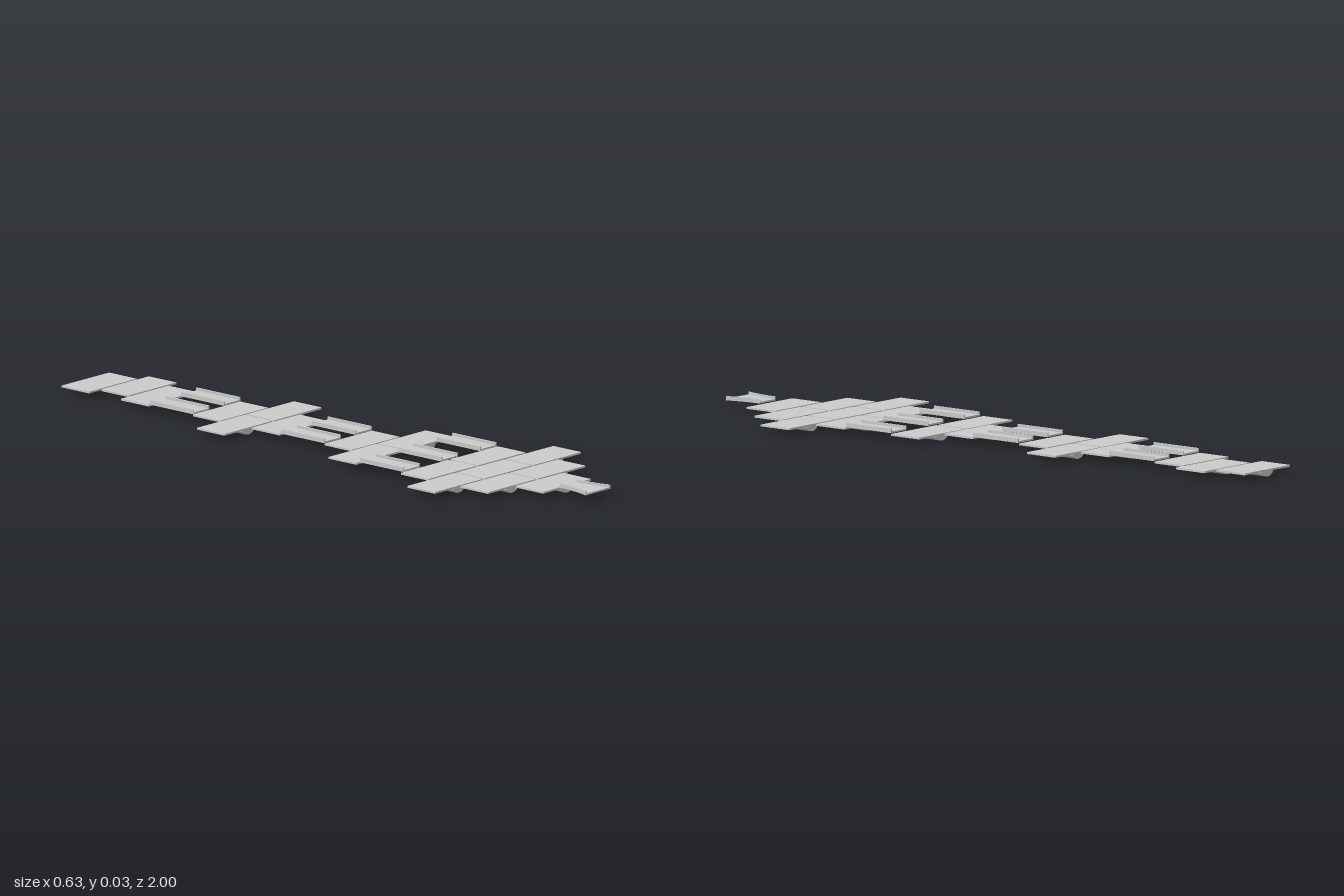
import * as THREE from 'three';

const mat = new THREE.MeshStandardMaterial({ color: 0xcccccc });
const TILE = { w: 0.206, h: 0.0055, d: 0.108, y: 0.0155 };
const X0 = -0.003; // centre line of the single tiles

function add(parent, name, geometry, x = 0, y = 0, z = 0) {
  const mesh = new THREE.Mesh(geometry, mat);
  mesh.name = name;
  mesh.position.set(x, y, z);
  parent.add(mesh);
  return mesh;
}

// Flat deck tile carried by one half-round float
const deckGeo = new THREE.BoxGeometry(TILE.w, TILE.h, TILE.d);
const floatGeo = new THREE.CylinderGeometry(1, 1, TILE.d, 20, 1, false, -Math.PI / 2, Math.PI)
  .rotateX(Math.PI / 2)
  .scale(0.025, 0.0155, 1);

function makeTile(x, z) {
  const tile = new THREE.Group();
  tile.name = 'deckTile';
  tile.position.set(x, 0, z);
  add(tile, 'deck', deckGeo, 0, TILE.y + TILE.h / 2, 0);
  add(tile, 'float', floatGeo, 0, TILE.y, 0);
  return tile;
}

// Channel-shaped gangway: thin floor with an upright rail on each side
const BRIDGE_W = 0.071, BRIDGE_L = 0.169, RAIL = 0.004;
const floorGeo = new THREE.BoxGeometry(BRIDGE_W, 0.005, BRIDGE_L);
const railGeo = new THREE.BoxGeometry(RAIL, 0.013, BRIDGE_L);

function makeBridge(x, z) {
  const bridge = new THREE.Group();
  bridge.name = 'bridge';
  bridge.position.set(x, 0, z);
  add(bridge, 'bridgeFloor', floorGeo, 0, 0.0242, 0);
  for (const s of [-1, 1]) add(bridge, 'bridgeRail', railGeo, s * (BRIDGE_W - RAIL) / 2, 0.0282, 0);
  return bridge;
}

// Flared ramp at the front end, outlined by a curve that widens outwards
function makeRamp() {
  const ramp = new THREE.Group();
  ramp.name = 'entryRamp';
  ramp.position.set(X0 - 0.001, 0, 0);
  const zBack = 0.886, zFront = 1.0;
  const edge = [];
  for (let i = 0; i <= 10; i++) {
    const t = i / 10;
    edge.push([0.0355 + 0.018 * Math.pow(t, 2), zBack + (zFront - zBack) * t]);
  }
  const plate = (points, height) => new THREE.ExtrudeGeometry(
    new THREE.Shape(points.map(([x, z]) => new THREE.Vector2(x, -z))),
    { depth: height, bevelEnabled: false }).rotateX(-Math.PI / 2);
  const mirrored = edge.map(([x, z]) => [-x, z]).reverse();
  add(ramp, 'rampFloor', plate([...edge, ...mirrored], 0.005), 0, 0.0217, 0);
  for (const s of [-1, 1]) {
    const outer = edge.map(([x, z]) => [s * x, z]);
    const inner = edge.map(([x, z]) => [s * (x - 0.003), z]).reverse();
    add(ramp, 'rampRail', plate([...outer, ...inner], 0.0125), 0, 0.0217, 0);
  }
  return ramp;
}

export function createModel() {
  const model = new THREE.Group();
  model.name = 'floatingWalkway';

  // Tile rows from back to front: z centre and x centre of every tile
  const single = [X0], pair = [-0.112, 0.103], triple = [-0.214, 0, 0.214];
  const rows = [
    [-0.944, single], [-0.829, [0.041]], [-0.712, single],
    [-0.433, single], [-0.319, pair], [-0.202, single],
    [0.08, single], [0.194, pair],
    [0.475, pair], [0.592, triple], [0.708, pair], [0.825, single],
  ];
  for (const [z, xs] of rows) for (const x of xs) model.add(makeTile(x, z));

  // Gangways spanning the three gaps between tile rows
  const twin = [-0.07, 0.064];
  const gaps = [[-0.57, twin], [-0.058, twin], [0.338, [-0.169, X0 - 0.001, 0.163]]];
  for (const [z, xs] of gaps) for (const x of xs) model.add(makeBridge(x, z));

  model.add(makeRamp());
  return model;
}
